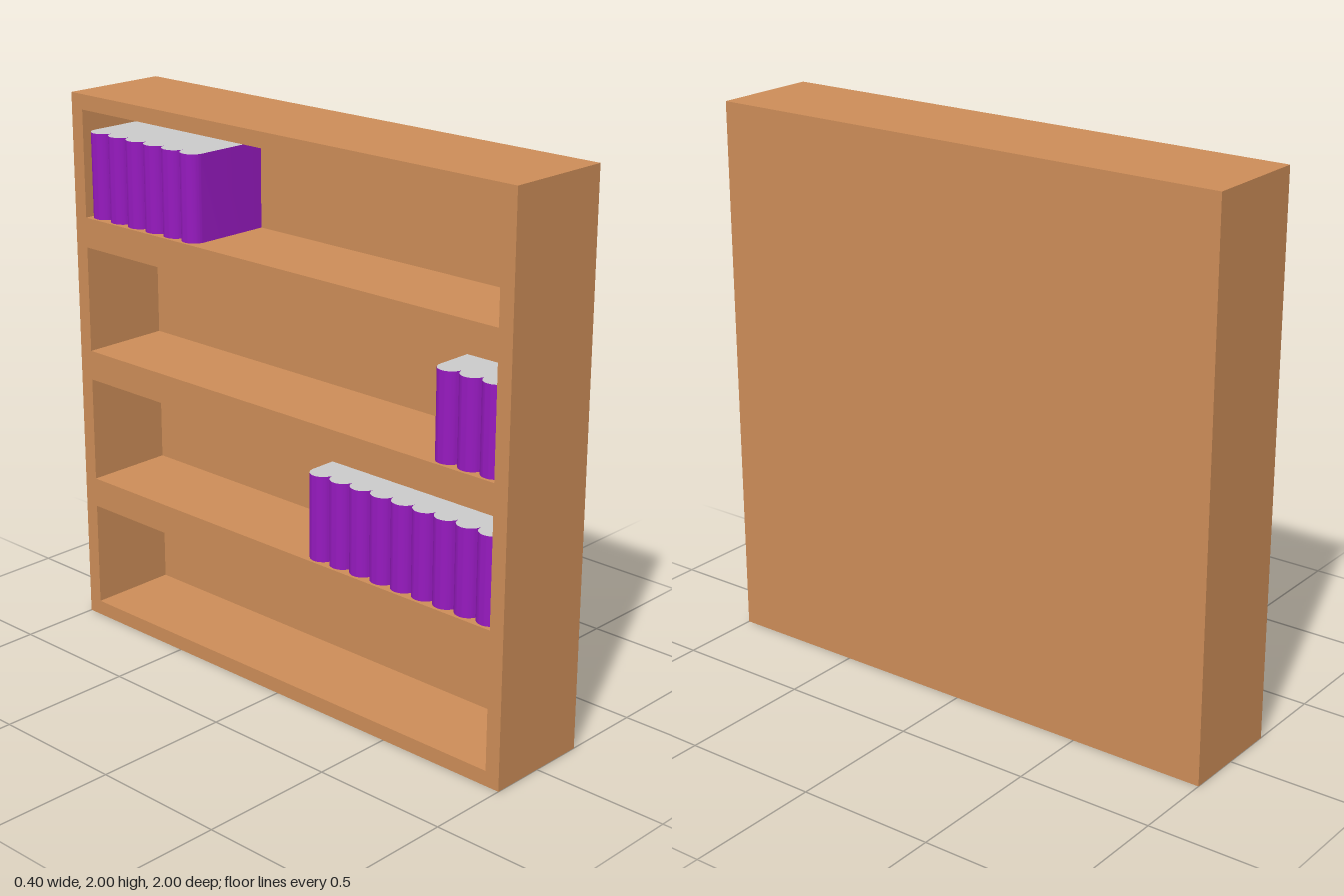
import * as THREE from 'three';
import { toCreasedNormals } from 'three/addons/utils/BufferGeometryUtils.js';

const BOARD = 0.055;   // thickness of the outer boards
const FRONT = -0.2;    // open side of the case
const BACK = 0.135;    // inner face of the back panel
const LEVEL = 0.5;     // spacing of the shelves

// Book standing on y = 0: flat block with a rounded spine toward -x
function bookGeometry(radius, height) {
  const spine = -0.143;
  const outline = new THREE.Shape();
  outline.moveTo(BACK, -radius);
  outline.lineTo(BACK, radius);
  outline.lineTo(spine, radius);
  outline.absarc(spine, 0, radius, Math.PI / 2, Math.PI * 1.5, false);
  outline.closePath();
  const geometry = new THREE.ExtrudeGeometry(outline, { depth: height, bevelEnabled: false, curveSegments: 16 });
  geometry.rotateX(-Math.PI / 2);
  return toCreasedNormals(geometry, 0.6);
}

export function createModel() {
  const model = new THREE.Group();
  model.name = 'bookcase';
  const wood = new THREE.MeshStandardMaterial({ color: 0xcd8d58 });
  const cover = new THREE.MeshStandardMaterial({ color: 0x961abf });
  const pages = new THREE.MeshStandardMaterial({ color: 0xcccccc });

  // Board given by its lowest and highest corner
  function board(name, min, max) {
    const size = max.map((v, i) => v - min[i]);
    const mesh = new THREE.Mesh(new THREE.BoxGeometry(...size), wood);
    mesh.position.set(...max.map((v, i) => (v + min[i]) / 2));
    mesh.name = name;
    model.add(mesh);
  }

  // Case
  board('backPanel', [BACK, 0, -1], [0.2, 2, 1]);
  board('leftEnd', [FRONT, 0, 1 - BOARD], [BACK, 2, 1]);
  board('rightEnd', [FRONT, 0, -1], [BACK, 2, BOARD - 1]);
  const inner = 1 - BOARD;
  board('bottomBoard', [FRONT, 0, -inner], [BACK, BOARD, inner]);
  board('topBoard', [FRONT, 2 - BOARD, -inner], [BACK, 2, inner]);
  for (let i = 1; i < 4; i++) {
    board('shelf' + i, [FRONT, i * LEVEL - BOARD, -inner], [BACK, i * LEVEL + BOARD, inner]);
  }

  // Rows of books, each starting at one end wall
  const pitch = 0.0915;
  const book = bookGeometry(pitch / 2, 0.31);
  const rows = [
    { level: 1, count: 9, side: 1 },
    { level: 2, count: 3, side: 1 },
    { level: 3, count: 6, side: -1 },
  ];
  for (const { level, count, side } of rows) {
    const row = new THREE.Group();
    row.name = 'bookRow' + level;
    for (let i = 0; i < count; i++) {
      const mesh = new THREE.Mesh(book, [pages, cover]);
      mesh.name = 'book';
      mesh.position.set(0, level * LEVEL + BOARD, side * (inner - pitch * (i + 0.5)));
      row.add(mesh);
    }
    model.add(row);
  }
  return model;
}
